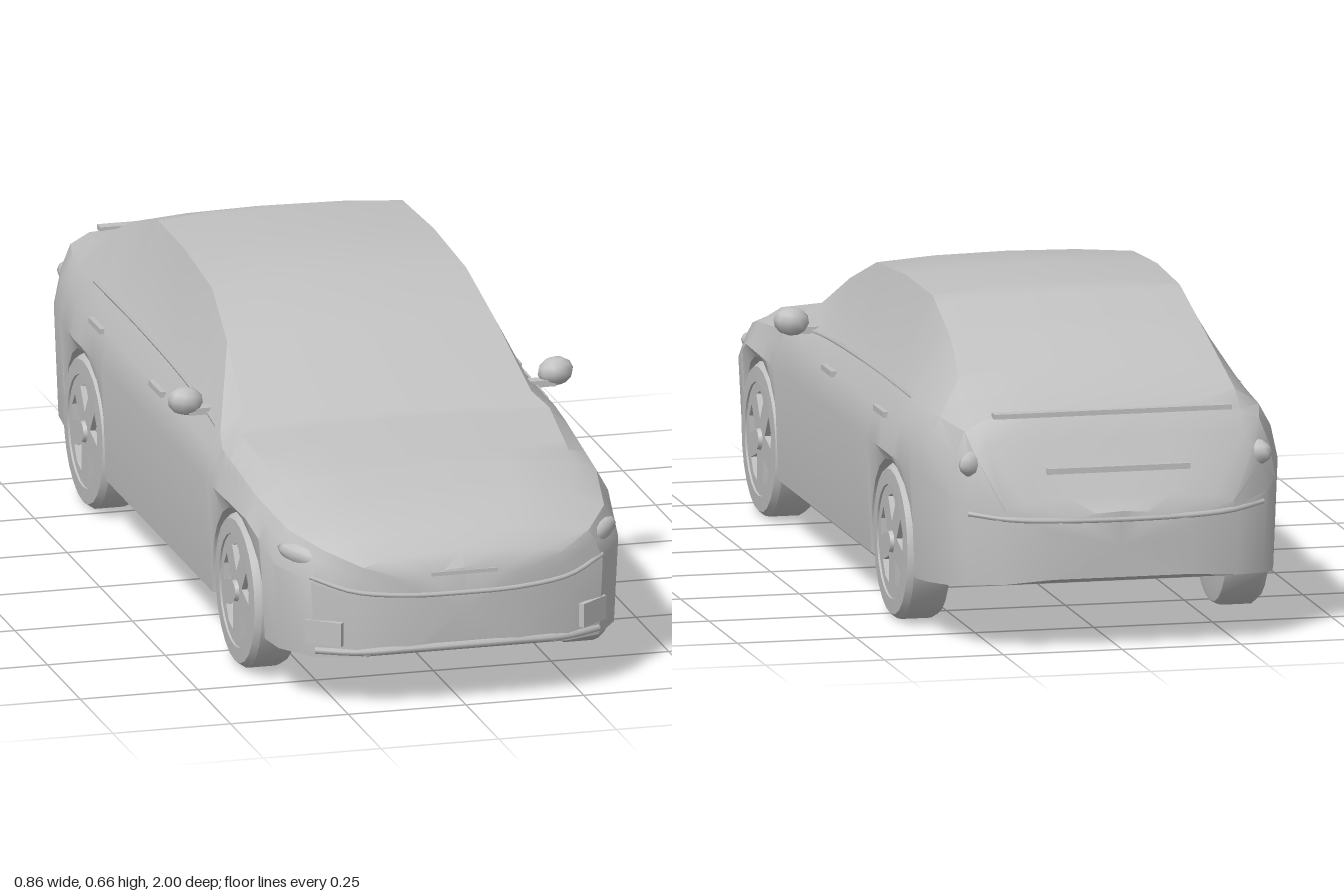
import * as THREE from 'three';
import { toCreasedNormals, mergeVertices } from 'three/addons/utils/BufferGeometryUtils.js';

const paint = new THREE.MeshStandardMaterial({ color: 0xc0c0c0 });
paint.name = 'grey';

const AXLES = [0.605, -0.555], HUB_Y = 0.174, WHEEL_R = 0.16, ARCH_R = 0.171;

// body stations: z, half width, floor y, widest y, belt x, belt y, top edge x, top edge y
const STATIONS = [
  [0.99, 0.12, 0.135, 0.24, 0.11, 0.285, 0.08, 0.293],
  [0.97, 0.23, 0.125, 0.25, 0.21, 0.315, 0.17, 0.325],
  [0.93, 0.31, 0.12, 0.28, 0.28, 0.345, 0.22, 0.358],
  [0.85, 0.365, 0.12, 0.30, 0.335, 0.37, 0.27, 0.395],
  [0.70, 0.385, 0.12, 0.355, 0.36, 0.40, 0.31, 0.428],
  [0.45, 0.39, 0.12, 0.355, 0.365, 0.43, 0.33, 0.462],
  [0.40, 0.39, 0.12, 0.355, 0.355, 0.45, 0.305, 0.485],
  [0.20, 0.39, 0.12, 0.36, 0.345, 0.465, 0.285, 0.58],
  [0.03, 0.39, 0.12, 0.36, 0.34, 0.47, 0.27, 0.643],
  [-0.20, 0.39, 0.12, 0.36, 0.34, 0.475, 0.265, 0.66],
  [-0.42, 0.39, 0.12, 0.36, 0.34, 0.48, 0.26, 0.656],
  [-0.60, 0.39, 0.12, 0.36, 0.345, 0.48, 0.265, 0.60],
  [-0.80, 0.375, 0.135, 0.36, 0.335, 0.475, 0.285, 0.508],
  [-0.91, 0.345, 0.145, 0.34, 0.31, 0.465, 0.27, 0.487],
  [-0.94, 0.32, 0.15, 0.32, 0.295, 0.42, 0.27, 0.435],
  [-0.98, 0.25, 0.155, 0.28, 0.24, 0.31, 0.20, 0.322],
  [-1.0, 0.15, 0.165, 0.24, 0.14, 0.28, 0.10, 0.29],
];

function stationAt(z) {
  let i = 0;
  while (i < STATIONS.length - 2 && z < STATIONS[i + 1][0]) i++;
  const a = STATIONS[i], b = STATIONS[i + 1];
  const t = (a[0] - z) / (a[0] - b[0]);
  return a.map((v, k) => v + (b[k] - v) * t);
}

// closed cross-section, with the lower edge lifted over the wheels
function section(z) {
  const [, hw, floor, wide, beltX, beltY, topX, topY] = stationAt(z);
  let sill = floor;
  for (const axle of AXLES) {
    const d = Math.abs(z - axle);
    if (d <= ARCH_R) sill = HUB_Y + Math.sqrt(Math.max(0, ARCH_R ** 2 - d * d));
  }
  const inner = Math.min(0.27, hw * 0.8);
  const half = [
    [0, floor], [inner, floor], [inner, sill], [hw * 0.975, sill],
    [hw, Math.max(wide, sill + 0.01)],
    [Math.max(beltX, hw - 0.015), beltY - (beltY - wide) * 0.4],
    [beltX, beltY], [topX, topY], [topX * 0.55, topY + 0.009], [0, topY + 0.012],
  ];
  return [...half, ...half.slice(1, -1).reverse().map(([x, y]) => [-x, y])];
}

function bodyGeometry() {
  const zs = STATIONS.map((s) => s[0]);
  for (const axle of AXLES) {
    for (let k = 0; k <= 10; k++) zs.push(axle + ARCH_R * 0.9999 * Math.cos((k / 10) * Math.PI));
    zs.push(axle + ARCH_R + 0.001, axle - ARCH_R - 0.001);
  }
  zs.sort((a, b) => b - a);
  const rings = zs.map(section), n = rings[0].length;
  const pos = [], idx = [];
  rings.forEach((ring, i) => ring.forEach(([x, y]) => pos.push(x, y, zs[i])));
  for (let i = 0; i < rings.length - 1; i++) {
    for (let j = 0; j < n; j++) {
      const a = i * n + j, b = i * n + ((j + 1) % n), c = a + n, d = b + n;
      idx.push(a, c, b, b, c, d);
    }
  }
  // nose and tail caps
  const last = (rings.length - 1) * n, nose = pos.length / 3;
  pos.push(0, 0.22, 0.995, 0, 0.23, -1.0);
  for (let j = 0; j < n; j++) {
    const k = (j + 1) % n;
    idx.push(nose, j, k, nose + 1, last + k, last + j);
  }
  const g = new THREE.BufferGeometry();
  g.setAttribute('position', new THREE.Float32BufferAttribute(pos, 3));
  g.setIndex(idx);
  return toCreasedNormals(mergeVertices(g), 0.5);
}

function mesh(parent, name, geometry, x = 0, y = 0, z = 0) {
  const m = new THREE.Mesh(geometry, paint);
  m.name = name;
  m.position.set(x, y, z);
  parent.add(m);
  return m;
}

// wheel along +x: tyre ring, back disc and a rim face with five openings
function makeWheel() {
  const wheel = new THREE.Group();
  wheel.name = 'wheel';
  const profile = [[0, -0.05], [0.12, -0.05], [0.152, -0.045], [WHEEL_R, -0.03],
    [WHEEL_R, 0.032], [0.15, 0.045], [0.118, 0.046], [0.114, 0.015], [0, 0.015]];
  const tyre = new THREE.LatheGeometry(profile.map(([r, h]) => new THREE.Vector2(r, h)), 24);
  mesh(wheel, 'tyre', toCreasedNormals(tyre, 0.6)).rotation.z = -Math.PI / 2;

  const face = new THREE.Shape().absarc(0, 0, 0.119, 0, Math.PI * 2);
  for (let i = 0; i < 5; i++) {
    const a = Math.PI / 2 + (i * Math.PI * 2) / 5;
    const at = (r, da) => new THREE.Vector2(r * Math.cos(a + da), r * Math.sin(a + da));
    face.holes.push(new THREE.Path([at(0.042, 0), at(0.094, 0.36), at(0.1, 0), at(0.094, -0.36)]));
  }
  const rim = new THREE.ExtrudeGeometry(face, { depth: 0.012, bevelEnabled: false, curveSegments: 12 });
  mesh(wheel, 'rim', rim, 0.03).rotation.y = Math.PI / 2;
  mesh(wheel, 'hubCap', new THREE.CylinderGeometry(0.02, 0.024, 0.01, 10), 0.045).rotation.z = -Math.PI / 2;
  return wheel;
}

function makeMirror(side) {
  const mirror = new THREE.Group();
  mirror.name = side > 0 ? 'leftMirror' : 'rightMirror';
  const shell = mesh(mirror, 'mirrorShell', new THREE.SphereGeometry(1, 10, 6), side * 0.393, 0.482, 0.268);
  shell.scale.set(0.038, 0.03, 0.03);
  shell.rotation.z = side * 0.15;
  mesh(mirror, 'mirrorArm', new THREE.BoxGeometry(0.06, 0.014, 0.025), side * 0.36, 0.462, 0.275);
  return mirror;
}

function trimTube(points, radius) {
  const curve = new THREE.CatmullRomCurve3(points.map((p) => new THREE.Vector3(...p)));
  return new THREE.TubeGeometry(curve, 24, radius, 5);
}

export function createModel() {
  const car = new THREE.Group();
  car.name = 'car';
  mesh(car, 'body', bodyGeometry());

  for (const side of [1, -1]) {
    for (const z of AXLES) {
      const wheel = makeWheel();
      wheel.position.set(side * 0.336, HUB_Y, z);
      if (side < 0) wheel.rotation.y = Math.PI;
      car.add(wheel);
    }
    car.add(makeMirror(side));
    for (const z of [0.0, -0.46]) {
      mesh(car, 'doorHandle', new THREE.BoxGeometry(0.012, 0.012, 0.09), side * 0.378, 0.428, z);
    }
    // window sill trim and lamps
    mesh(car, 'windowTrim', trimTube([[side * 0.352, 0.452, 0.36], [side * 0.344, 0.467, 0.15],
      [side * 0.34, 0.476, -0.25], [side * 0.345, 0.48, -0.6]], 0.004));
    const lamp = mesh(car, 'headlamp', new THREE.SphereGeometry(1, 10, 6), side * 0.315, 0.325, 0.885);
    lamp.scale.set(0.06, 0.022, 0.018);
    lamp.rotation.set(0, side * 0.75, side * 0.2);
    const tail = mesh(car, 'tailLamp', new THREE.SphereGeometry(1, 10, 6), side * 0.295, 0.40, -0.925);
    tail.scale.set(0.04, 0.028, 0.02);
    tail.rotation.y = side * 0.6;
    const fog = mesh(car, 'fogLampSurround', new THREE.BoxGeometry(0.08, 0.05, 0.012), side * 0.285, 0.175, 0.943);
    fog.rotation.y = side * 0.68;
  }

  // front bumper and grille trim
  mesh(car, 'grilleTrim', trimTube([[-0.31, 0.29, 0.925], [-0.23, 0.265, 0.968], [-0.12, 0.255, 0.99],
    [0, 0.253, 0.993], [0.12, 0.255, 0.99], [0.23, 0.265, 0.968], [0.31, 0.29, 0.925]], 0.005));
  mesh(car, 'lowerLip', trimTube([[-0.3, 0.135, 0.93], [-0.22, 0.135, 0.968], [-0.11, 0.14, 0.988],
    [0.11, 0.14, 0.988], [0.22, 0.135, 0.968], [0.3, 0.135, 0.93]], 0.008));
  mesh(car, 'grilleBar', new THREE.BoxGeometry(0.14, 0.008, 0.01), 0, 0.296, 0.988);

  // boot lid lip and plate ledge
  mesh(car, 'bootLip', new THREE.BoxGeometry(0.5, 0.01, 0.025), 0, 0.494, -0.91);
  mesh(car, 'plateLedge', new THREE.BoxGeometry(0.3, 0.012, 0.03), 0, 0.385, -0.958);
  mesh(car, 'rearBumperTrim', trimTube([[-0.31, 0.3, -0.944], [-0.22, 0.29, -0.985], [0, 0.285, -0.998],
    [0.22, 0.29, -0.985], [0.31, 0.3, -0.944]], 0.006));
  return car;
}
